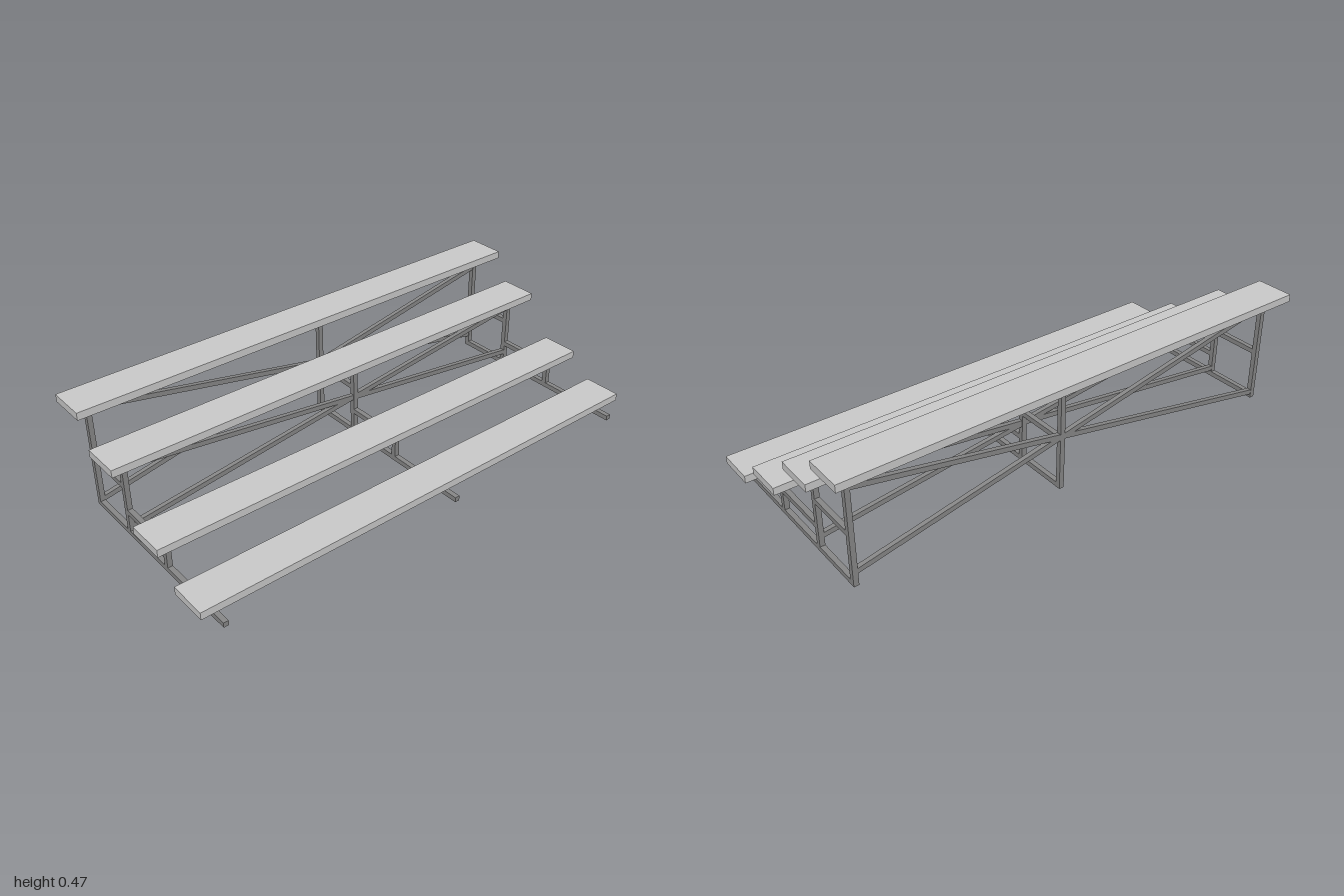
import * as THREE from 'three';

const T = 0.02; // square tube width
const seatMat = new THREE.MeshStandardMaterial({ color: 0xcccccc });
const frameMat = new THREE.MeshStandardMaterial({ color: 0x888888 });

// Seat rows from front to back: plank centre z, plank underside y, post z
const rows = [
  { z: 0.343, y: 0.055, post: 0.345 },
  { z: 0.1, y: 0.148, post: 0.097 },
  { z: -0.158, y: 0.317, post: -0.153 },
  { z: -0.364, y: 0.438, post: -0.371 },
];
const frameX = [-0.925, 0.083, 0.932];

function box(parent, name, mat, size, pos) {
  const mesh = new THREE.Mesh(new THREE.BoxGeometry(...size), mat);
  mesh.name = name;
  mesh.position.set(...pos);
  parent.add(mesh);
  return mesh;
}

// Upright side frame: floor runner, posts and step rails
function makeFrame(x) {
  const frame = new THREE.Group();
  frame.name = 'supportFrame';
  frame.position.x = x;
  box(frame, 'floorRunner', frameMat, [T, T, 0.824], [0, T / 2, 0.031]);
  rows.forEach((r) =>
    box(frame, 'post', frameMat, [T, r.y - T, T], [0, (r.y + T) / 2, r.post]));
  [[1, 2, 0.102], [2, 3, 0.21]].forEach(([a, b, y]) => {
    const length = rows[a].post - rows[b].post - T;
    box(frame, 'stepRail', frameMat, [T, T, length], [0, y, (rows[a].post + rows[b].post) / 2]);
  });
  return frame;
}

// Diagonal brace spanning the outer frames in the plane of one row of posts
function addBrace(parent, yLeft, yRight, z) {
  const dx = frameX[2] - frameX[0], dy = yRight - yLeft;
  const brace = box(parent, 'diagonalBrace', frameMat, [Math.hypot(dx, dy), T, T * 0.9],
    [(frameX[0] + frameX[2]) / 2, (yLeft + yRight) / 2, z]);
  brace.rotation.z = Math.atan2(dy, dx);
}

export function createModel() {
  const model = new THREE.Group();
  model.name = 'bleachers';
  // Seat planks
  rows.forEach((r) => box(model, 'seatPlank', seatMat, [2, 0.03, 0.154], [0, r.y + 0.015, r.z]));
  frameX.forEach((x) => model.add(makeFrame(x)));
  // Crossed braces behind the two upper rows
  addBrace(model, 0.42, 0.055, rows[3].post);
  addBrace(model, 0.025, 0.39, rows[3].post);
  addBrace(model, 0.29, 0.06, rows[2].post);
  addBrace(model, 0.035, 0.28, rows[2].post);
  return model;
}
